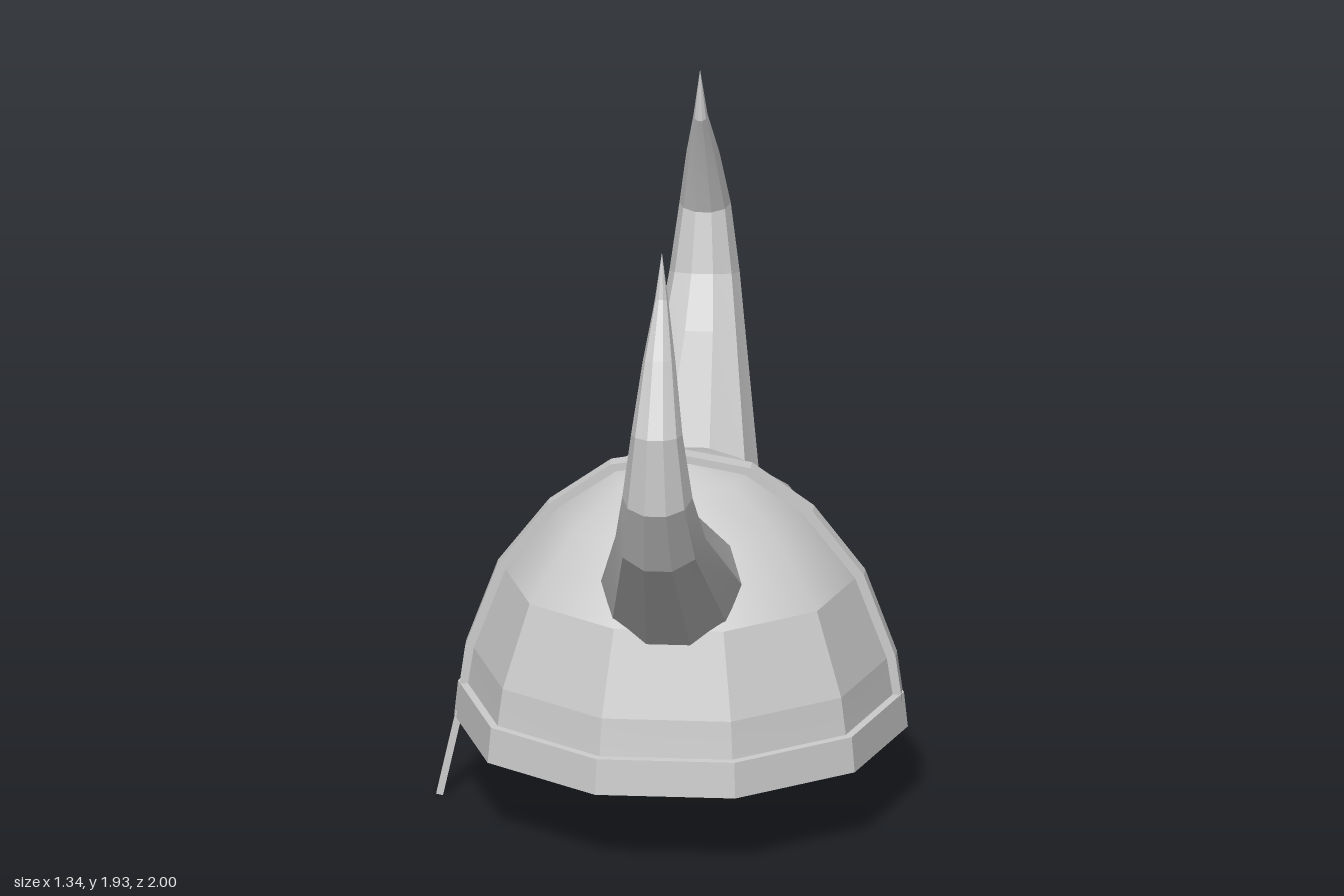
import * as THREE from 'three';
import { toCreasedNormals } from 'three/addons/utils/BufferGeometryUtils.js';

const SIDES = 10;
const CREASE = THREE.MathUtils.degToRad(8);
const CENTRE_X = 0.025;

const material = new THREE.MeshStandardMaterial({ color: 0xcccccc });

function part(name, geometry, parent) {
  const mesh = new THREE.Mesh(geometry, material);
  mesh.name = name;
  parent.add(mesh);
  return mesh;
}

// Ten-sided turned shape with a corner on the x axis, smooth all round
function turned(profile) {
  const points = profile.map(([r, y]) => new THREE.Vector2(r, y));
  return new THREE.LatheGeometry(points, SIDES, Math.PI / 2);
}

// The same with flat facets
function faceted(profile) {
  return toCreasedNormals(turned(profile), CREASE);
}

// Horn swept through rings, each given by its inner and outer [z, y] point and half width
function hornGeometry(rings) {
  const positions = [];
  const index = [];
  const apothem = Math.cos(Math.PI / SIDES);
  rings.forEach(([[z0, y0], [z1, y1], halfWidth], i) => {
    const hz = (z1 - z0) / 2 / apothem;
    const hy = (y1 - y0) / 2 / apothem;
    for (let j = 0; j < SIDES; j++) {
      const angle = (j / SIDES) * Math.PI * 2;
      const s = Math.sin(angle);
      positions.push(halfWidth * Math.cos(angle), (y0 + y1) / 2 + hy * s, (z0 + z1) / 2 + hz * s);
      if (i === rings.length - 1) continue;
      const a = i * SIDES + j;
      const b = i * SIDES + ((j + 1) % SIDES);
      index.push(a, b + SIDES, b, a, a + SIDES, b + SIDES);
    }
  });
  const geometry = new THREE.BufferGeometry();
  geometry.setAttribute('position', new THREE.Float32BufferAttribute(positions, 3));
  geometry.setIndex(index);
  return toCreasedNormals(geometry, CREASE);
}

export function createModel() {
  const model = new THREE.Group();
  model.name = 'hornedHelmet';

  const helmet = new THREE.Group();
  helmet.name = 'helmet';
  helmet.position.x = CENTRE_X;
  model.add(helmet);

  // Dome: flat facets on the wall, smooth crown, each with an outer and inner skin
  const wall = [[0.62, 0.3], [0.612, 0.34], [0.595, 0.45], [0.505, 0.69]];
  const crown = [[0.505, 0.69], [0.357, 0.88], [0.192, 0.995], [0, 1.03]];
  part('domeWall', faceted(wall), helmet);
  part('domeCrown', turned(crown), helmet);
  part('innerWall', faceted([[0.485, 0.68], [0.572, 0.44], [0.588, 0.235]]), helmet);
  part('innerCrown', turned([[0, 1.008], [0.182, 0.975], [0.34, 0.863], [0.485, 0.68]]), helmet);

  // Brow band with a bevelled lower rim
  part('browBand', faceted([[0.588, 0.235], [0.605, 0.222], [0.645, 0.236], [0.634, 0.34], [0.605, 0.342]]), helmet);

  // Raised ridge running over the crown from side to side
  const ridgeOuter = [[0.628, 0.3], [0.628, 0.34], [0.612, 0.455], [0.522, 0.7], [0.376, 0.89], [0.2, 1.015], [0, 1.05]];
  const ridgeInner = [...wall, ...crown.slice(1)].map(([x, y]) => [x * 0.98, y - 0.01]);
  const arch = (half) => [...half, ...half.slice(0, -1).reverse().map(([x, y]) => [-x, y])];
  const outline = [...arch(ridgeOuter), ...arch(ridgeInner).reverse()];
  const ridgeShape = new THREE.Shape(outline.map(([x, y]) => new THREE.Vector2(x, y)));
  const ridge = new THREE.ExtrudeGeometry(ridgeShape, { depth: 0.05, bevelEnabled: false });
  ridge.translate(0, 0, -0.025);
  part('crownRidge', ridge, helmet);

  // Pair of horns, front and back
  const horn = hornGeometry([
    [[0.25, 0.935], [0.495, 0.652], 0.2],
    [[0.69, 1.155], [0.888, 1.022], 0.128],
    [[0.82, 1.28], [1.0, 1.23], 0.1],
    [[0.865, 1.45], [1.0, 1.46], 0.073],
    [[0.803, 1.62], [0.892, 1.66], 0.047],
    [[0.735, 1.775], [0.772, 1.802], 0.02],
    [[0.735, 1.932], [0.735, 1.932], 0],
  ]);
  part('frontHorn', horn, helmet);
  part('backHorn', horn, helmet).rotation.y = Math.PI;

  // Single strap hanging from the right side
  const strap = part('chinStrap', new THREE.BoxGeometry(0.02, 0.256, 0.05), model);
  strap.position.set(-0.632, 0.127, 0);
  strap.rotation.z = -0.217;

  return model;
}
